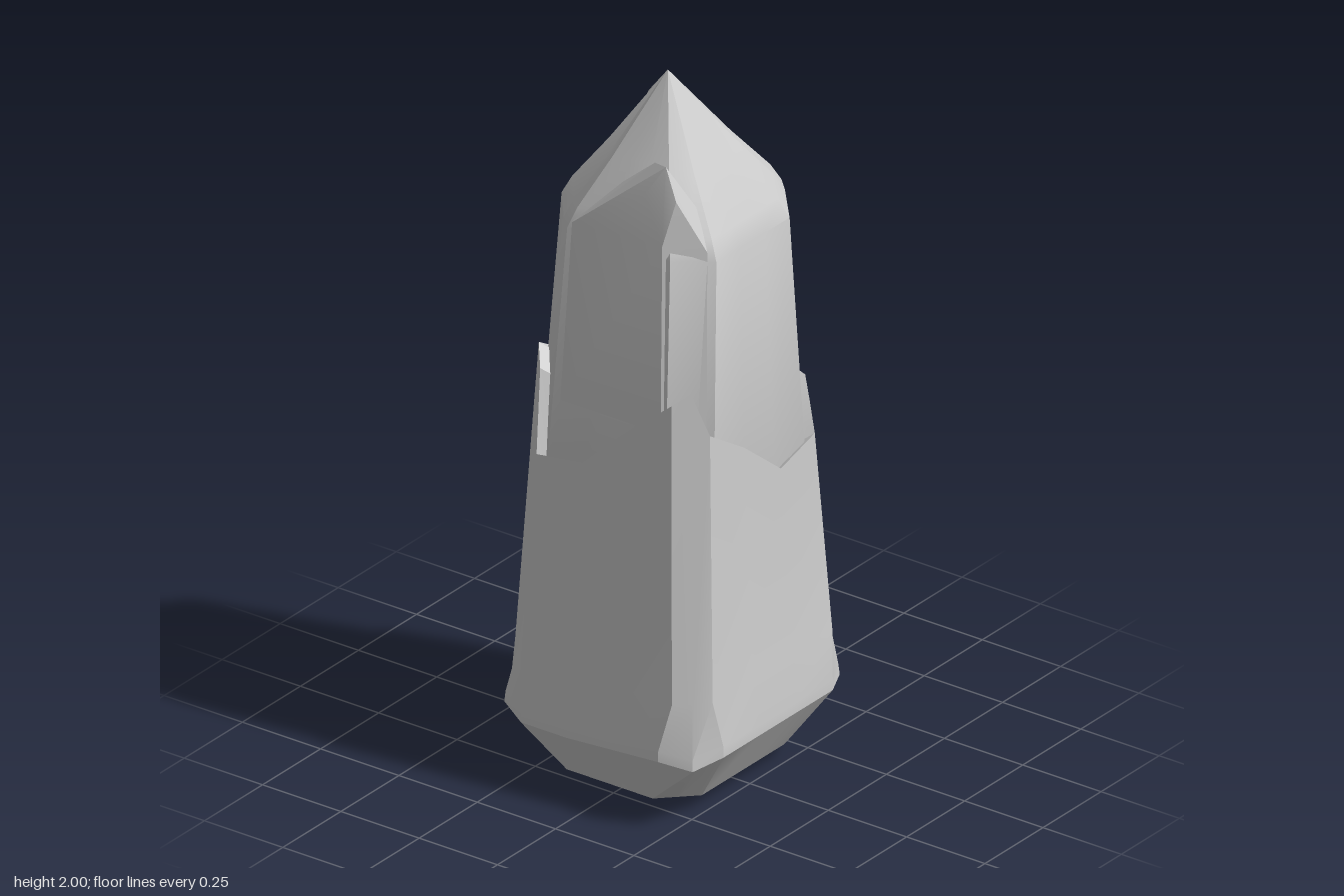
import * as THREE from 'three';
import { toCreasedNormals } from 'three/addons/utils/BufferGeometryUtils.js';
import { ConvexGeometry } from 'three/addons/geometries/ConvexGeometry.js';

const mat = new THREE.MeshStandardMaterial({ color: 0xcccccc, side: THREE.DoubleSide });
const lerp = THREE.MathUtils.lerp;

// 20-point bevelled rectangle: 3 points per corner, 2 per side.
// Order: left-front corner, front, right-front corner, right side, right-back, back, left-back, left side.
// box = [xMin, xMax, zMin, zMax]; c = bevel size; k = how sharp the corner is (0.5 flat, 0 square)
function outline([x0, x1, z0, z1], c, k) {
  const corners = [
    [[x1, z1 - c], [x1 - c * k, z1 - c * k], [x1 - c, z1]],
    [[x0 + c, z1], [x0 + c * k, z1 - c * k], [x0, z1 - c]],
    [[x0, z0 + c], [x0 + c * k, z0 + c * k], [x0 + c, z0]],
    [[x1 - c, z0], [x1 - c * k, z0 + c * k], [x1, z0 + c]],
  ];
  return corners.flatMap((corner, i) => {
    const a = corner[2], b = corners[(i + 1) % 4][0];
    return [...corner, ...[1 / 3, 2 / 3].map(t => [lerp(a[0], b[0], t), lerp(a[1], b[1], t)])];
  });
}

// Ring whose points follow their own heights; heights may be one number or 20
function ring(heights, boxAt, c, k = 0.5) {
  return Array.from({ length: 20 }, (_, i) => {
    const y = Array.isArray(heights) ? heights[i] : heights;
    const [x, z] = outline(typeof boxAt === 'function' ? boxAt(y) : boxAt, c, k)[i];
    return [x, y, z];
  });
}

// Walls that taper linearly between two heights
const taper = (y0, b0, y1, b1) => y => b0.map((v, i) => lerp(v, b1[i], (y - y0) / (y1 - y0)));

// Skin a stack of rings, closing both ends to a point
function loft(rings, bottom, top) {
  const n = rings[0].length, pos = [...bottom], idx = [];
  rings.forEach(r => r.forEach(p => pos.push(...p)));
  pos.push(...top);
  const last = 1 + rings.length * n;
  for (let i = 0; i < n; i++) {
    const j = (i + 1) % n;
    idx.push(0, 1 + i, 1 + j);
    for (let r = 0; r < rings.length - 1; r++) {
      const a = 1 + r * n, b = a + n;
      idx.push(a + i, b + i, a + j, a + j, b + i, b + j);
    }
    idx.push(last - n + i, last, last - n + j);
  }
  const g = new THREE.BufferGeometry();
  g.setAttribute('position', new THREE.Float32BufferAttribute(pos, 3));
  g.setIndex(idx);
  return toCreasedNormals(g, 0.4);
}

export function createModel() {
  const group = new THREE.Group();
  const add = (name, geometry) => {
    const m = new THREE.Mesh(geometry, mat);
    m.name = name;
    group.add(m);
  };

  // Lower sheath: faceted foot, tapering walls and a broken rim
  const wall = taper(0.36, [-0.33, 0.335, -0.31, 0.32], 0.95, [-0.292, 0.295, -0.283, 0.288]);
  const rim = [
    1.05, 1.0, 0.93, 0.89, 1.01,
    1.1, 1.22, 1.19, 1.08, 0.95,
    0.93, 1.15, 1.2, 1.12, 1.02,
    0.93, 0.98, 0.94, 0.98, 1.1];
  const belt = [
    0.16, 0.2, 0.2, 0.2, 0.2,
    0.2, 0.18, 0.2, 0.19, 0.18,
    0.18, 0.2, 0.2, 0.21, 0.23,
    0.25, 0.26, 0.26, 0.23, 0.19];
  const foot = [-0.355, 0.355, -0.338, 0.34];
  const inset = y => wall(y).map(v => v * 0.84);
  add('lowerSheath', loft([
    ring(0.004, [-0.22, 0.19, -0.19, 0.17], 0.07),
    ring(0.035, [-0.27, 0.265, -0.225, 0.23], 0.09),
    ring(belt, foot, 0.12, 0.32),
    ring(belt.map(y => y + 0.03), foot, 0.12, 0.34),
    ring(0.36, wall, 0.075),
    ring(rim, wall, 0.07),
    ring(rim.map(y => y - 0.035), inset, 0.06),
  ], [-0.02, 0, -0.01], [0, 0.85, 0]));

  // Inner crystal: tapering shaft, bevelled shoulder and pointed cap
  const apex = [-0.03, 2, 0.01];
  const shaft = taper(1.0, [-0.279, 0.279, -0.271, 0.277], 1.6, [-0.238, 0.243, -0.24, 0.257]);
  const shoulder = [
    1.62, 1.62, 1.57, 1.57, 1.57,
    1.57, 1.58, 1.58, 1.6, 1.6,
    1.58, 1.58, 1.62, 1.63, 1.63,
    1.63, 1.64, 1.64, 1.63, 1.63];
  const edge = ring(shoulder, shaft, 0.085);
  const toApex = (t, lift, cornerLift) => edge.map((p, i) => {
    const q = p.map((v, a) => lerp(v, apex[a], t));
    q[1] += lift + (i >= 15 && i <= 17 ? cornerLift : 0);
    return q;
  });
  add('innerCrystal', loft([
    ring(0.7, shaft, 0.09).map(([x, y, z]) => [x * 0.85, y, z * 0.85]),
    ring(0.9, shaft, 0.09),
    edge,
    toApex(0.1, 0.012, 0.01),
    toApex(0.45, 0, 0.06),
  ], [0, 0.7, 0], apex));

  // Side shard leaning against the crystal's right flank
  const shard = [
    [-0.2, 1.825, 0.13], [-0.18, 1.815, 0.08], [-0.225, 1.74, 0.08], [-0.21, 1.74, 0.17],
    [-0.13, 1.69, 0.18], [-0.14, 1.69, 0.08], [-0.17, 1.62, -0.15], [-0.24, 1.6, -0.14],
    [-0.243, 1.62, 0.15], [-0.17, 1.6, 0.24],
    [-0.277, 1.1, 0.17], [-0.2, 1.1, 0.26], [-0.15, 1.1, 0.2], [-0.277, 1.1, -0.15], [-0.2, 1.1, -0.1],
  ];
  add('sideShard', toCreasedNormals(
    new ConvexGeometry(shard.map(p => new THREE.Vector3(...p))), 0.35));

  return group;
}
